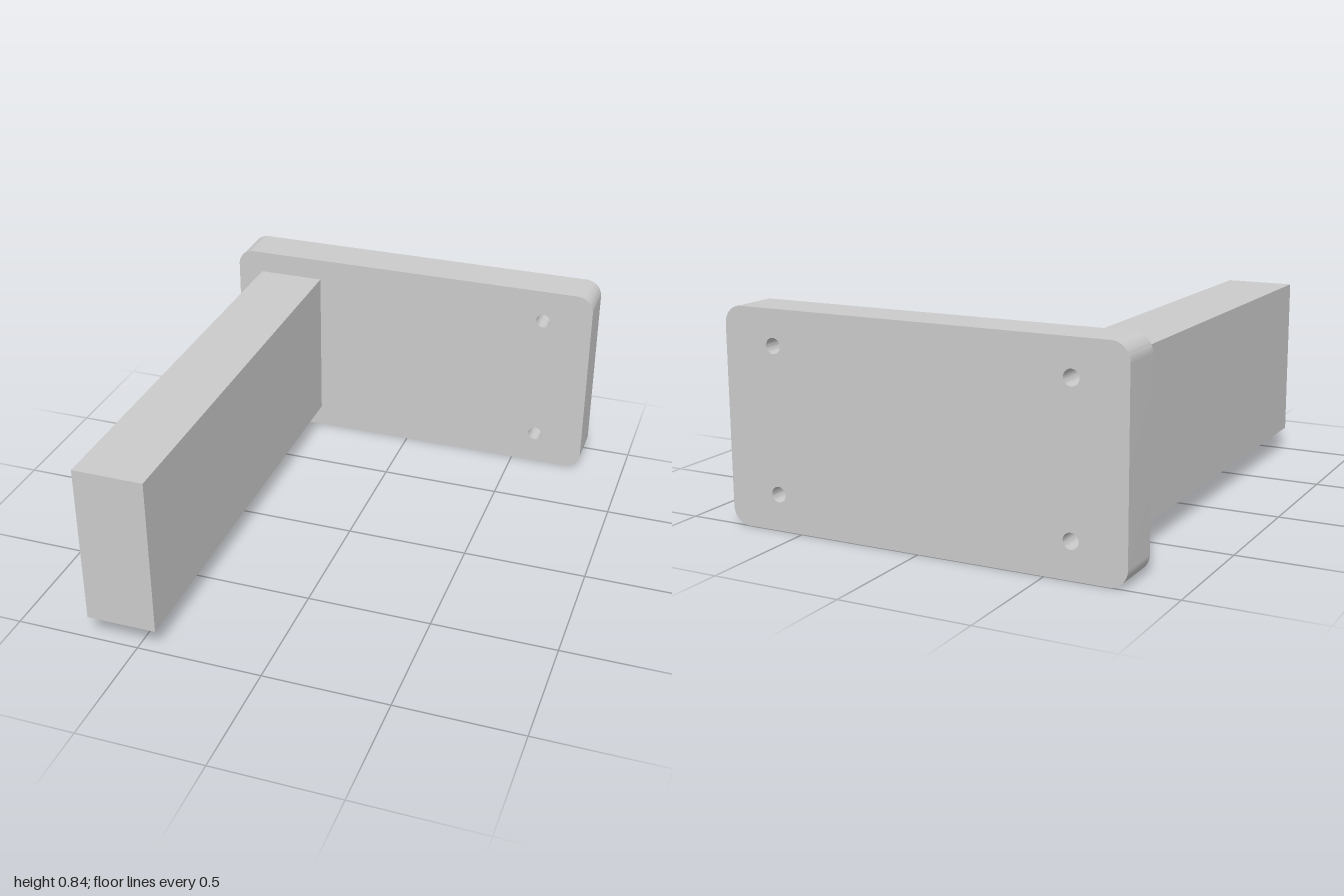
import * as THREE from 'three';
import { toCreasedNormals } from 'three/addons/utils/BufferGeometryUtils.js';

const W = 0.81, H = 0.837, R = 0.07;        // plate half width, height, corner radius
const BACK = -1, PLATE_FRONT = -0.815, ARM_FRONT = 1;

// Rounded rectangle standing on y = 0, with four screw holes
function plateShape() {
  const s = new THREE.Shape();
  s.absarc(W - R, R, R, -Math.PI / 2, 0);
  s.absarc(W - R, H - R, R, 0, Math.PI / 2);
  s.absarc(-W + R, H - R, R, Math.PI / 2, Math.PI);
  s.absarc(-W + R, R, R, Math.PI, Math.PI * 1.5);
  s.closePath();
  for (const x of [-0.6, 0.6]) {
    for (const y of [0.14, 0.7]) {
      s.holes.push(new THREE.Path().absarc(x, y, 0.03, 0, Math.PI * 2, true));
    }
  }
  return s;
}

export function createModel() {
  const group = new THREE.Group();
  const material = new THREE.MeshStandardMaterial({ color: 0xcccccc });

  // Mounting plate at the back
  const plateGeometry = new THREE.ExtrudeGeometry(plateShape(), {
    depth: PLATE_FRONT - BACK, bevelEnabled: false, curveSegments: 16,
  });
  const plate = new THREE.Mesh(toCreasedNormals(plateGeometry, Math.PI / 6), material);
  plate.name = 'mountingPlate';
  plate.position.z = BACK;
  group.add(plate);

  // Arm reaching forward; its base closes the two holes behind it
  const arm = new THREE.Mesh(new THREE.BoxGeometry(0.28, 0.65, ARM_FRONT - PLATE_FRONT), material);
  arm.name = 'arm';
  arm.position.set(-0.56, 0.42, (ARM_FRONT + PLATE_FRONT) / 2);
  group.add(arm);

  return group;
}
